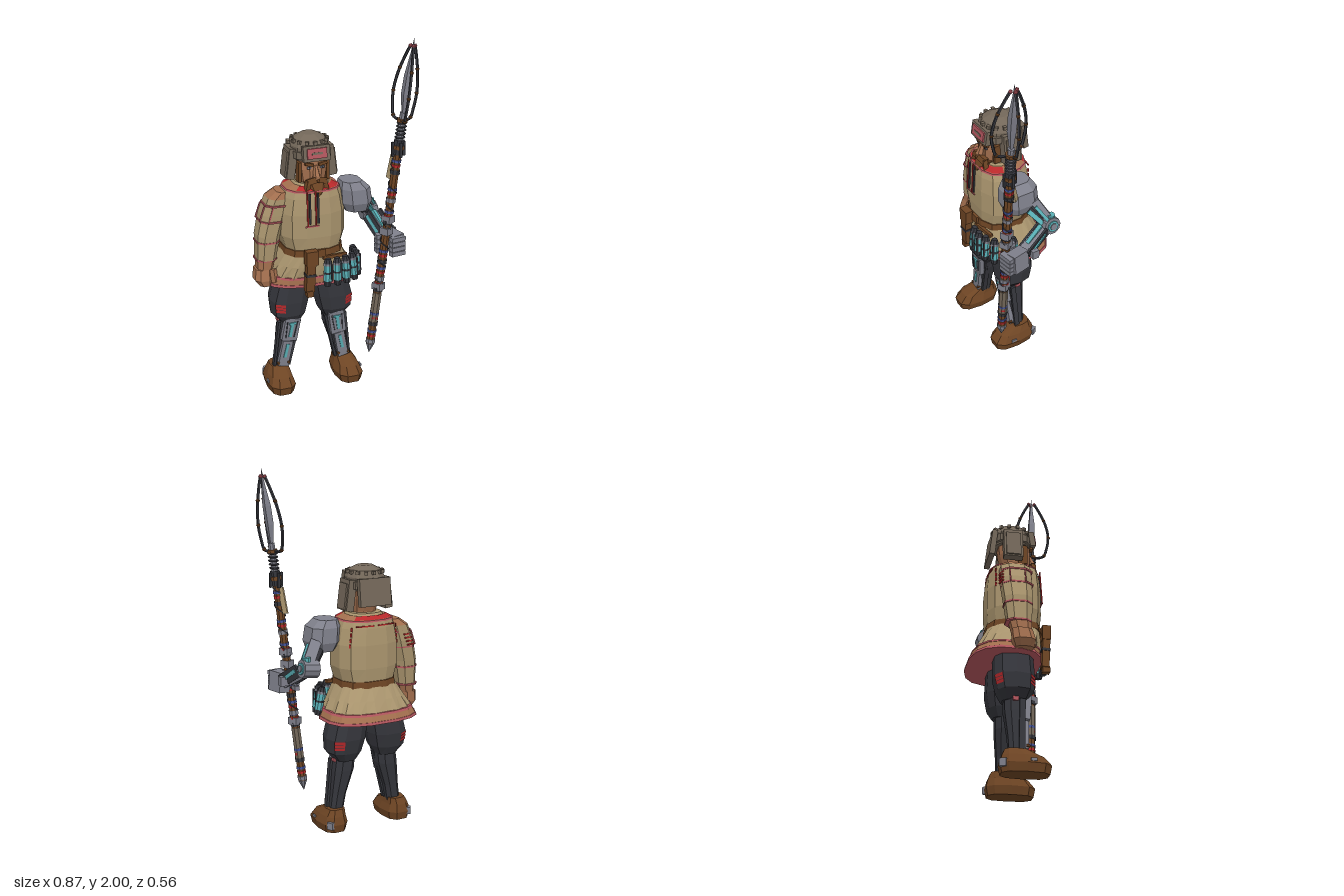
import * as THREE from 'three';

const V = (p) => new THREE.Vector3(...p);
const CX = -0.1; // body centre line

export function createModel() {
  const model = new THREE.Group();
  const mat = (name, color) => Object.assign(new THREE.MeshStandardMaterial({ color }), { name });
  const tan = mat('tan cloth', 0xab966f), taupe = mat('taupe hide', 0x74685a), brown = mat('brown leather', 0x6e4524);
  const skin = mat('skin', 0xa4704f), charcoal = mat('charcoal cloth', 0x35363c), metal = mat('grey metal', 0x80818c);
  const cyan = mat('cyan glass', 0x58adb3), red = mat('red embroidery', 0xb8292b), pink = mat('rose trim', 0xb5575f);
  const blue = mat('blue cord', 0x44549a);

  // Faceted mesh
  const add = (name, geo, m, pos = [0, 0, 0], rot = [0, 0, 0]) => {
    const g = geo.index ? geo.toNonIndexed() : geo;
    g.computeVertexNormals();
    const mesh = new THREE.Mesh(g, m);
    mesh.name = name;
    mesh.position.set(...pos);
    mesh.rotation.set(...rot, 'YXZ');
    model.add(mesh);
    return mesh;
  };
  const box = (name, m, size, pos, rot) => add(name, new THREE.BoxGeometry(...size), m, pos, rot);
  // Stacked cross-sections [y, cx, cz, rx, rz]: p squares the outline, ripple makes pleats,
  // cols keeps only some faces of the ring as an open patch
  const loft = (name, m, rings, n = 12, p = 0.75, ripple = 0, cols = null) => {
    const pos = [], idx = [], R = rings.length;
    const pw = (v) => Math.sign(v) * Math.abs(v) ** p;
    rings.forEach(([y, cx, cz, rx, rz], i) => {
      for (let j = 0; j < n; j++) {
        const a = ((j + 0.5) / n) * Math.PI * 2;
        const k = 1 + (j % 2 ? ripple : -ripple) * (1 - i / (R - 1));
        pos.push(cx + rx * k * pw(Math.sin(a)), y, cz + rz * k * pw(Math.cos(a)));
      }
    });
    for (let i = 0; i < R - 1; i++) for (let j = 0; j < n; j++) {
      if (cols && !cols.includes(j)) continue;
      const a = i * n + j, b = i * n + ((j + 1) % n);
      idx.push(a, b, b + n, a, b + n, a + n);
    }
    if (!cols) [0, R - 1].forEach((i) => {
      const c = pos.length / 3;
      pos.push(rings[i][1], rings[i][0], rings[i][2]);
      for (let j = 0; j < n; j++) {
        const a = i * n + j, b = i * n + ((j + 1) % n);
        if (i) idx.push(a, b, c); else idx.push(b, a, c);
      }
    });
    const g = new THREE.BufferGeometry();
    g.setAttribute('position', new THREE.Float32BufferAttribute(pos, 3));
    g.setIndex(idx);
    return add(name, g, m);
  };
  // Geometry built along y, laid from a to b
  const along = (name, m, a, b, geoFor) => {
    const A = V(a), B = V(b), d = B.clone().sub(A);
    const mesh = add(name, geoFor(d.length()), m, A.clone().lerp(B, 0.5).toArray());
    mesh.quaternion.setFromUnitVectors(new THREE.Vector3(0, 1, 0), d.normalize());
    return mesh;
  };
  const rod = (name, m, a, b, r0, r1 = r0, n = 8) => along(name, m, a, b, (l) => new THREE.CylinderGeometry(r1, r0, l, n));
  const bar = (name, m, a, b, w, d) => along(name, m, a, b, (l) => new THREE.BoxGeometry(w, l, d));

  // Coat
  loft('hemTrim', pink, [[0.643, CX, -0.09, 0.277, 0.196], [0.658, CX, -0.089, 0.272, 0.194]], 16);
  loft('hemBand', skin, [[0.658, CX, -0.089, 0.268, 0.191], [0.688, CX, -0.082, 0.253, 0.184]], 16);
  loft('coatSkirt', tan, [[0.688, CX, -0.081, 0.246, 0.179], [0.76, CX, -0.06, 0.205, 0.165], [0.84, CX, -0.04, 0.16, 0.142]], 32, 0.75, 0.03);
  loft('hemStripe', pink, [[0.688, CX, -0.082, 0.257, 0.188], [0.7, CX, -0.08, 0.251, 0.185]], 16);
  loft('coatBody', tan, [[0.84, CX, -0.04, 0.158, 0.142], [0.93, CX, -0.04, 0.185, 0.15], [1.06, CX, -0.04, 0.185, 0.15],
    [1.15, CX, -0.04, 0.168, 0.142], [1.192, CX, -0.04, 0.152, 0.134]]);
  loft('yokeTrim', pink, [[1.185, CX, -0.04, 0.158, 0.139], [1.194, CX, -0.04, 0.154, 0.136]]);
  loft('yoke', skin, [[1.192, CX, -0.04, 0.152, 0.134], [1.212, CX, -0.04, 0.112, 0.1]]);
  loft('yokeEmbroidery', red, [[1.196, CX, -0.04, 0.148, 0.131], [1.214, CX, -0.04, 0.114, 0.102]], 12, 0.75, 0, [0, 1, 4, 5, 6, 7, 10, 11]);
  loft('collar', tan, [[1.2, CX, -0.04, 0.112, 0.1], [1.224, CX, -0.04, 0.092, 0.088]]);
  [-1, 1].forEach((s) => {
    for (let i = 0; i < 3; i++)
      box('backSeamStitch', red, [0.035, 0.007, 0.006], [CX + s * (0.03 + i * 0.035), 1.165, -0.178 + i * 0.004], [0, -s * 0.12, 0]);
    for (let i = 0; i < 4; i++)
      box('sideSeamStitch', red, [0.007, 0.02, 0.007], [CX + s * (0.137 + i * 0.003), 1.15 - i * 0.03, -0.152], [0, s * 0.6, 0]);
  });
  loft('belt', brown, [[0.822, CX, -0.04, 0.172, 0.154], [0.858, CX, -0.04, 0.168, 0.15]]);
  [-0.152, -0.105].forEach((x) => {
    box('placketEdge', charcoal, [0.01, 0.17, 0.008], [x, 1.1, 0.108], [-0.06, 0, 0]);
    box('placketTrim', red, [0.007, 0.19, 0.006], [x - 0.014, 1.1, 0.109], [-0.06, 0, 0]);
  });
  box('placketHem', pink, [0.08, 0.007, 0.006], [-0.14, 1.0, 0.11]);
  box('buckle', brown, [0.05, 0.045, 0.014], [-0.09, 0.84, 0.113]);

  // Holster and canisters on the belt
  box('holster', brown, [0.05, 0.2, 0.04], [-0.162, 0.73, 0.13], [0.05, 0, -0.04]);
  box('holsterFlap', brown, [0.068, 0.08, 0.045], [-0.155, 0.83, 0.133]);
  box('holsterStrap', charcoal, [0.056, 0.014, 0.046], [-0.162, 0.73, 0.13], [0.05, 0, -0.04]);
  box('holsterTip', brown, [0.036, 0.035, 0.04], [-0.167, 0.62, 0.13]);
  [[-0.06, 0.135], [-0.008, 0.138], [0.044, 0.127], [0.093, 0.1], [0.128, 0.055], [0.135, 0.005]].forEach(([x, z], i) => {
    const at = (y) => [x + (0.8 - y) * 0.05 * (i - 1), y, z + (0.8 - y) * (i < 4 ? 0.08 : 0)];
    rod('canisterGlass', cyan, at(0.682), at(0.777), 0.0235);
    rod('canisterBase', charcoal, at(0.655), at(0.685), 0.018, 0.0245);
    rod('canisterLid', metal, at(0.772), at(0.785), 0.025);
    rod('canisterCap', charcoal, at(0.785), at(0.81), 0.025, 0.016);
    rod('canisterBand', charcoal, at(0.726), at(0.736), 0.0255);
    const [ax, ay, az] = at(0.735);
    box('canisterStrap', charcoal, [0.008, 0.1, 0.01], [ax + 0.016, ay, az + 0.018]);
  });
  bar('canisterRail', brown, [-0.08, 0.81, 0.115], [0.06, 0.81, 0.1], 0.018, 0.02);

  // Legs and shoes
  [-1, 1].forEach((s) => {
    const X = (o) => CX + s * o;
    loft('trouserLeg', charcoal, [[0.4, X(0.13), -0.05, 0.06, 0.07], [0.45, X(0.137), -0.05, 0.098, 0.097],
      [0.53, X(0.13), -0.055, 0.112, 0.108], [0.64, X(0.108), -0.055, 0.106, 0.105], [0.72, X(0.1), -0.055, 0.098, 0.1]], 10);
    // Embroidered patches at front and back of the knee
    [0.476, 0.494, 0.512].forEach((y) => {
      const ring = (h) => [h, X(0.137 - (h - 0.45) * 0.0875), -0.05 - (h - 0.45) * 0.0625, 0.1015 + (h - 0.45) * 0.175, 0.1005 + (h - 0.45) * 0.1375];
      loft('kneePatch', red, [ring(y), ring(y + 0.0155)], 10, 0.75, 0, s > 0 ? [0, 3] : [8, 5]);
    });
    box('kneeBolt', pink, [0.012, 0.026, 0.03], [X(0.194), 0.405, -0.055]);
    loft('shin', charcoal, [[0.1, X(0.185), -0.05, 0.042, 0.042], [0.2, X(0.17), -0.05, 0.045, 0.046], [0.34, X(0.14), -0.05, 0.062, 0.06],
      [0.42, X(0.13), -0.05, 0.06, 0.06]], 8);
    // Shin armour
    bar('shinPlateUpper', metal, [X(0.15), 0.29, 0.004], [X(0.128), 0.43, 0.018], 0.09, 0.03);
    bar('shinPlateLower', metal, [X(0.184), 0.13, -0.008], [X(0.154), 0.285, 0.0], 0.06, 0.03);
    bar('shinLightUpper', cyan, [X(0.147), 0.315, 0.023], [X(0.132), 0.405, 0.032], 0.018, 0.008);
    bar('shinLightLower', cyan, [X(0.175), 0.185, 0.011], [X(0.156), 0.268, 0.015], 0.017, 0.008);
    box('shinLightTop', cyan, [0.04, 0.012, 0.008], [X(0.132), 0.4, 0.033]);
    [-1, 1].forEach((e) => {
      bar('shinSideRail', charcoal, [X(0.185 + e * 0.043), 0.12, -0.03], [X(0.137 + e * 0.06), 0.4, -0.02], 0.014, 0.03);
      bar('shinGroove', charcoal, [X(0.147 + e * 0.024), 0.31, 0.022], [X(0.132 + e * 0.03), 0.41, 0.032], 0.006, 0.006);
      rod('ankleBolt', brown, [X(0.182 + e * 0.03), 0.15, -0.005], [X(0.182 + e * 0.03), 0.15, 0.014], 0.008, 0.008, 6);
    });
    loft('shoe', brown, [[0, X(0.205), -0.012, 0.07, 0.125], [0.045, X(0.205), -0.012, 0.081, 0.134],
      [0.088, X(0.203), -0.025, 0.066, 0.11], [0.125, X(0.195), -0.055, 0.052, 0.062]], 10, 0.7);
    box('heelClasp', metal, [0.03, 0.04, 0.035], [X(0.25), 0.045, -0.126], [0, s * 0.5, 0]);
    box('shoeClasp', metal, [0.008, 0.014, 0.03], [X(0.281), 0.06, 0.02]);
  });

  // Right arm: sleeve, trims and fist
  loft('rightSleeve', tan, [[0.79, -0.36, -0.05, 0.056, 0.066], [0.93, -0.345, -0.055, 0.068, 0.078], [1.05, -0.315, -0.06, 0.072, 0.085],
    [1.14, -0.285, -0.06, 0.064, 0.083]], 8);
  loft('rightShoulder', skin, [[1.14, -0.285, -0.06, 0.064, 0.083], [1.175, -0.255, -0.055, 0.045, 0.065]], 8);
  [[0.785, -0.36, 0.062, 0.071], [0.89, -0.349, 0.069, 0.079], [1.01, -0.325, 0.074, 0.087], [1.1, -0.298, 0.073, 0.089]].forEach(([y, x, rx, rz]) =>
    loft('sleeveTrim', pink, [[y, x, -0.055, rx, rz], [y + 0.009, x, -0.055, rx, rz]], 8));
  for (let i = 0; i < 4; i++)
    box('sleeveEmbroidery', red, [0.05, 0.008, 0.008], [-0.345 + i * 0.008, 1.028 + i * 0.02, -0.141 + i * 0.001], [0, 0.25, 0]);
  [-0.1, -0.02].forEach((z) => bar('sleeveSeam', pink, [-0.397, 1.015, z], [-0.368, 1.1, z], 0.007, 0.006));
  bar('sleeveFrontSeam', pink, [-0.355, 1.015, 0.017], [-0.33, 1.1, 0.018], 0.007, 0.008);
  loft('rightCuff', skin, [[0.74, -0.37, -0.04, 0.046, 0.055], [0.79, -0.362, -0.045, 0.052, 0.06]], 8);
  loft('rightFist', skin, [[0.645, -0.375, -0.025, 0.035, 0.05], [0.68, -0.385, -0.03, 0.052, 0.062], [0.74, -0.38, -0.04, 0.048, 0.055]], 8);
  bar('rightThumb', skin, [-0.335, 0.74, 0.01], [-0.33, 0.67, 0.025], 0.025, 0.028);

  // Left arm: mechanical
  loft('shoulderPlate', metal, [[1.03, 0.155, -0.015, 0.07, 0.085], [1.08, 0.15, -0.015, 0.092, 0.105],
    [1.16, 0.142, -0.015, 0.088, 0.1], [1.2, 0.125, -0.015, 0.06, 0.075]], 8);
  const elbow = [0.285, 0.955, -0.125], wrist = [0.32, 0.85, 0.07];
  rod('upperArmCore', charcoal, [0.17, 1.08, -0.04], elbow, 0.044, 0.038);
  bar('upperArmPlate', metal, [0.215, 1.09, -0.075], [0.285, 0.99, -0.125], 0.045, 0.06);
  bar('upperArmLight', cyan, [0.228, 1.04, -0.03], [0.287, 0.975, -0.083], 0.024, 0.02);
  bar('upperArmSideLight', cyan, [0.25, 1.075, -0.06], [0.305, 1.0, -0.105], 0.018, 0.024);
  rod('elbowJoint', metal, [0.235, 0.955, -0.125], [0.325, 0.965, -0.125], 0.05, 0.05, 10);
  rod('elbowLight', cyan, [0.325, 0.965, -0.125], [0.332, 0.966, -0.125], 0.032, 0.032, 10);
  rod('elbowBolt', metal, [0.33, 0.966, -0.125], [0.337, 0.967, -0.125], 0.02);
  rod('elbowTopLight', cyan, [0.295, 1.0, -0.13], [0.297, 1.025, -0.13], 0.022);
  bar('forearm', metal, elbow, wrist, 0.06, 0.06);
  [-1, 1].forEach((s) => {
    bar('forearmRail', charcoal, [0.29 + s * 0.036, 0.95, -0.09], [0.32 + s * 0.036, 0.865, 0.05], 0.012, 0.07);
    bar('forearmLight', cyan, [0.295 + s * 0.04, 0.945, -0.07], [0.32 + s * 0.04, 0.875, 0.03], 0.014, 0.02);
  });
  bar('forearmTopLight', cyan, [0.292, 0.972, -0.07], [0.312, 0.905, 0.03], 0.022, 0.016);
  box('gauntletPalm', metal, [0.07, 0.11, 0.1], [0.342, 0.845, 0.11], [0, 0.2, 0.1]);
  box('gauntletCuff', metal, [0.05, 0.05, 0.04], [0.36, 0.87, 0.02]);
  for (let i = 0; i < 4; i++) {
    const y = 0.8 + i * 0.028;
    box('gauntletFinger', metal, [0.085, 0.024, 0.035], [0.335, y, 0.172], [0, 0.15, 0]);
    box('gauntletFingertip', metal, [0.03, 0.024, 0.04], [0.252, y, 0.095]);
  }

  // Head
  loft('head', skin, [[1.19, CX, -0.035, 0.06, 0.06], [1.23, CX, -0.02, 0.07, 0.075], [1.3, CX, -0.03, 0.082, 0.088], [1.4, CX, -0.04, 0.082, 0.088]], 10);
  loft('nose', skin, [[1.255, CX, 0.062, 0.02, 0.03], [1.27, CX, 0.066, 0.02, 0.026], [1.325, CX, 0.05, 0.01, 0.014]], 6);
  loft('beard', brown, [[1.14, CX - 0.01, 0.085, 0.008, 0.01], [1.18, CX, 0.07, 0.035, 0.03], [1.235, CX, 0.03, 0.066, 0.045]], 8);
  [-1, 1].forEach((s) => {
    const X = (o) => CX + s * o;
    bar('moustache', brown, [X(0.003), 1.252, 0.078], [X(0.052), 1.237, 0.066], 0.032, 0.03);
    bar('moustacheEnd', brown, [X(0.045), 1.248, 0.068], [X(0.062), 1.175, 0.07], 0.024, 0.026);
    box('sideburn', brown, [0.016, 0.11, 0.05], [X(0.08), 1.285, 0.005]);
    box('eye', metal, [0.024, 0.012, 0.008], [X(0.037), 1.315, 0.056]);
    box('pupil', charcoal, [0.009, 0.012, 0.008], [X(0.036), 1.315, 0.058]);
    box('eyebrow', brown, [0.048, 0.016, 0.016], [X(0.038), 1.335, 0.058], [0, 0, s * 0.25]);
    // Ear flaps
    box('earFlap', taupe, [0.045, 0.17, 0.105], [X(0.112), 1.325, -0.055], [0, 0, s * 0.12]);
    box('earFlapEdge', taupe, [0.02, 0.14, 0.08], [X(0.134), 1.32, -0.055], [0, 0, s * 0.12]);
  });

  // Cap
  loft('capCrown', taupe, [[1.35, CX, -0.045, 0.104, 0.106], [1.42, CX, -0.048, 0.108, 0.11],
    [1.458, CX, -0.05, 0.088, 0.09], [1.48, CX, -0.052, 0.045, 0.048]], 10, 0.95);
  loft('capBand', taupe, [[1.36, CX, -0.047, 0.116, 0.116], [1.4, CX, -0.047, 0.118, 0.118]], 10, 0.85);
  box('browFlap', taupe, [0.15, 0.085, 0.03], [CX, 1.395, 0.06], [-0.15, 0, 0]);
  box('browPanel', pink, [0.11, 0.055, 0.009], [CX, 1.399, 0.079], [-0.15, 0, 0]);
  box('browPatch', taupe, [0.06, 0.012, 0.006], [CX, 1.4, 0.083], [-0.15, 0, 0]);
  box('neckFlap', taupe, [0.19, 0.15, 0.03], [CX, 1.345, -0.157], [0.12, 0, 0]);
  for (let i = 0; i < 14; i++) {
    const a = (i / 14) * Math.PI * 2;
    box('capStud', taupe, [0.018, 0.018, 0.018], [CX + 0.098 * Math.sin(a), 1.447, -0.05 + 0.1 * Math.cos(a)], [0, a, 0]);
  }

  // Spear
  const P = (y) => [0.195 + (y - 0.19) * 0.114, y, 0.12 + (y - 0.19) * 0.031];
  const shaft = (name, m, y0, y1, r0, r1, n) => rod(name, m, P(y0), P(y1), r0, r1, n);
  shaft('spearButt', metal, 0.185, 0.245, 0.001, 0.026);
  shaft('spearShaft', brown, 0.24, 1.42, 0.023);
  shaft('lowerSleeve', taupe, 0.38, 0.56, 0.026);
  [0.25, 0.36, 0.57, 0.64, 0.74, 0.97, 1.1, 1.26].forEach((y, i) => {
    shaft('shaftCollar', i % 3 ? charcoal : metal, y, y + 0.022, 0.028);
    shaft('shaftBinding', red, y + 0.04, y + 0.054, 0.026);
    shaft('shaftCordWrap', blue, y + 0.066, y + 0.08, 0.027);
  });
  [0.6, 0.93, 1.0].forEach((y) => box('shaftBracket', metal, [0.05, 0.04, 0.055], P(y), [0, 0.5, 0]));
  const helix = Array.from({ length: 61 }, (_, i) => {
    const t = i / 60, c = V(P(0.6 + t * 0.76)), a = t * Math.PI * 14;
    return c.add(new THREE.Vector3(0.025 * Math.cos(a), 0, 0.025 * Math.sin(a)));
  });
  add('shaftCord', new THREE.TubeGeometry(new THREE.CatmullRomCurve3(helix), 120, 0.004, 4), charcoal);
  shaft('upperSocket', charcoal, 1.37, 1.45, 0.03, 0.028);
  shaft('socketRing', brown, 1.4, 1.42, 0.034);
  for (let i = 0; i < 4; i++) {
    const a = i * Math.PI / 2, [x, , z] = P(1.4);
    box('socketLug', charcoal, [0.014, 0.08, 0.014], [x + 0.032 * Math.cos(a), 1.4, z + 0.032 * Math.sin(a)]);
  }
  shaft('springCore', metal, 1.44, 1.6, 0.019);
  for (let i = 0; i < 5; i++) add('springCoil', new THREE.TorusGeometry(0.025, 0.005, 4, 10), charcoal, P(1.465 + i * 0.02), [Math.PI / 2, 0, 0]);
  shaft('prongSeat', brown, 1.548, 1.566, 0.03);
  const px = P(1.25)[0];
  bar('hangingTag', tan, [px, 1.36, 0.135], [px - 0.01, 1.22, 0.1], 0.012, 0.03);

  // Three curved prongs around the blade
  for (let i = 0; i < 3; i++) {
    const a = i * Math.PI * 2 / 3;
    const at = (y, r) => V(P(y)).add(new THREE.Vector3(r * 0.6 * Math.cos(a), 0, r * 1.15 * Math.sin(a)));
    const pts = [[1.555, 0.01], [1.565, 0.07], [1.62, 0.09], [1.7, 0.1], [1.8, 0.083], [1.9, 0.045], [1.96, 0.016]].map(([y, r]) => at(y, r));
    add('prong', new THREE.TubeGeometry(new THREE.CatmullRomCurve3(pts), 24, 0.0085, 5), charcoal);
    [[1.57, 0.075], [1.7, 0.1], [1.83, 0.074], [1.955, 0.018]].forEach(([y, r], k) =>
      add('prongKnuckle', new THREE.IcosahedronGeometry(0.012, 0), k === 3 ? pink : brown, at(y, r).toArray()));
  }
  loft('blade', metal, [[1.58, 0.353, 0.163, 0.008, 0.008], [1.7, 0.362, 0.167, 0.024, 0.024],
    [1.8, 0.376, 0.17, 0.024, 0.024], [1.92, 0.393, 0.174, 0.009, 0.009], [1.995, 0.401, 0.176, 0.001, 0.001]], 4, 1);
  return model;
}
